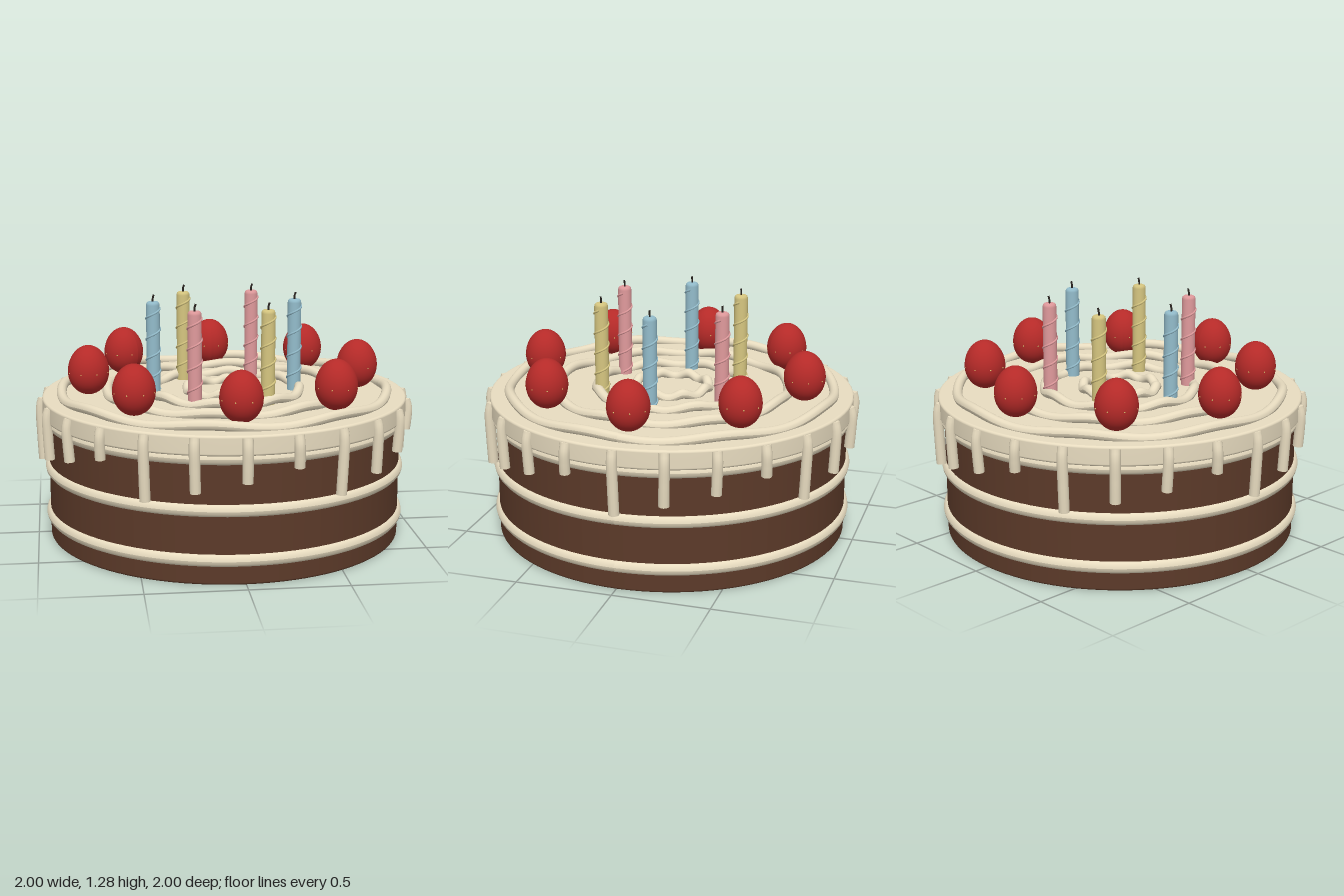
import * as THREE from 'three';

const paint = (color) => new THREE.MeshStandardMaterial({ color });
const chocolate = paint(0x5c3a29);
const cream = paint(0xe8dcc0);
const red = paint(0xb52a28);
const seedTone = paint(0xe0c070);
const dark = paint(0x2a2420);
const candleTones = { blue: paint(0x93bccb), pink: paint(0xe09a9c), yellow: paint(0xd6c680) };

const V = (x, y, z) => new THREE.Vector3(x, y, z);

function add(parent, name, geometry, material, x = 0, y = 0, z = 0) {
  const mesh = new THREE.Mesh(geometry, material);
  mesh.name = name;
  mesh.position.set(x, y, z);
  parent.add(mesh);
  return mesh;
}

// Disc with rounded rims; separate lathe strips keep the flat faces crisp
function roundedDisc(parent, name, radius, y0, y1, bevel, material) {
  const group = new THREE.Group();
  group.name = name;
  const side = [];
  for (let i = 0; i <= 4; i++) {
    const a = (i / 4) * Math.PI / 2;
    side.push(new THREE.Vector2(radius - bevel + bevel * Math.sin(a), y0 + bevel - bevel * Math.cos(a)));
  }
  for (let i = 0; i <= 4; i++) {
    const a = (i / 4) * Math.PI / 2;
    side.push(new THREE.Vector2(radius - bevel + bevel * Math.cos(a), y1 - bevel + bevel * Math.sin(a)));
  }
  add(group, name + 'Side', new THREE.LatheGeometry(side, 96), material);
  const cap = new THREE.CircleGeometry(radius - bevel, 96);
  add(group, name + 'Top', cap, material, 0, y1, 0).rotation.x = -Math.PI / 2;
  add(group, name + 'Bottom', cap, material, 0, y0, 0).rotation.x = Math.PI / 2;
  parent.add(group);
}

// Piped ring lying flat, with an optional up-and-down wave
function pipedRing(radius, tube, wave = 0) {
  const geometry = new THREE.TorusGeometry(radius, tube, 14, 128).rotateX(-Math.PI / 2);
  const p = geometry.attributes.position;
  for (let i = 0; i < p.count; i++) {
    const angle = Math.atan2(p.getZ(i), p.getX(i));
    p.setY(i, p.getY(i) + wave * Math.sin(angle * 8));
  }
  geometry.computeVertexNormals();
  return geometry;
}

// Drip hanging down the side, outward along +z
function drip(bottom, lean) {
  const curve = new THREE.CatmullRomCurve3([
    V(0, 0.738, 0.958), V(0, 0.69, 0.97), V(lean * 0.5, (0.69 + bottom) / 2, 0.968), V(lean, bottom, 0.962),
  ]);
  const group = new THREE.Group();
  group.name = 'drip';
  add(group, 'dripStream', new THREE.TubeGeometry(curve, 12, 0.027, 12), cream);
  const cap = new THREE.CircleGeometry(0.027, 12);
  add(group, 'dripTop', cap, cream, 0, 0.738, 0.958).rotation.x = -Math.PI / 2;
  add(group, 'dripEnd', cap, cream, lean, bottom, 0.962).rotation.x = Math.PI / 2;
  return group;
}

function strawberry() {
  const group = new THREE.Group();
  group.name = 'strawberry';
  // Egg shape, a little fuller below the middle
  const body = new THREE.SphereGeometry(1, 32, 24);
  const p = body.attributes.position;
  for (let i = 0; i < p.count; i++) {
    const y = p.getY(i);
    const r = 0.108 * (1 - 0.05 * y);
    p.setXYZ(i, p.getX(i) * r, y * 0.13, p.getZ(i) * r);
  }
  body.computeVertexNormals();
  add(group, 'berry', body, red);
  const seed = new THREE.SphereGeometry(0.004, 6, 4);
  for (let i = 0; i < 8; i++) {
    const a = (i + 0.5) * Math.PI / 4;
    add(group, 'seed', seed, seedTone, 0.107 * Math.cos(a), -0.01, 0.107 * Math.sin(a));
  }
  return group;
}

function candle(tone) {
  const group = new THREE.Group();
  group.name = 'candle';
  const profile = [[0.036, 0], [0.036, 0.475], [0.033, 0.487], [0.026, 0.493], [0, 0.493]];
  add(group, 'candleStick', new THREE.LatheGeometry(profile.map((q) => new THREE.Vector2(...q)), 24), tone);
  // Raised spiral
  const path = [];
  for (let i = 0; i <= 72; i++) {
    const a = (i / 72) * Math.PI * 8;
    path.push(V(0.036 * Math.cos(a), 0.02 + 0.44 * i / 72, -0.036 * Math.sin(a)));
  }
  add(group, 'spiral', new THREE.TubeGeometry(new THREE.CatmullRomCurve3(path), 120, 0.006, 6), tone);
  const wick = new THREE.CatmullRomCurve3([V(0, 0.485, 0), V(0, 0.51, 0), V(0.006, 0.53, 0)]);
  add(group, 'wick', new THREE.TubeGeometry(wick, 6, 0.005, 8), dark);
  return group;
}

export function createModel() {
  const cake = new THREE.Group();
  cake.name = 'cake';

  // Sponge and its piped bands
  roundedDisc(cake, 'sponge', 0.933, 0, 0.66, 0.012, chocolate);
  for (const y of [0.125, 0.375, 0.632]) add(cake, 'sideBand', pipedRing(0.92, 0.034), cream, 0, y, 0);

  // Icing lid and wavy rings on top
  roundedDisc(cake, 'icing', 0.963, 0.65, 0.75, 0.012, cream);
  for (const r of [0.195, 0.4, 0.62, 0.86]) add(cake, 'topRing', pipedRing(r, 0.026, 0.012), cream, 0, 0.766, 0);

  // Drips in four repeating lengths
  const ends = [0.52, 0.58, 0.41, 0.47];
  for (let i = 0; i < 24; i++) {
    const d = drip(ends[i % 4], 0.006 * Math.sin(i * 2.3));
    d.rotation.y = i * Math.PI / 12;
    cake.add(d);
  }

  // Strawberries around the edge
  for (let i = 0; i < 8; i++) {
    const a = i * Math.PI / 4;
    const s = strawberry();
    s.position.set(0.717 * Math.cos(a), 0.884, 0.717 * Math.sin(a));
    s.rotation.y = -a;
    cake.add(s);
  }

  // Candles in an inner circle
  ['blue', 'yellow', 'pink', 'blue', 'yellow', 'pink'].forEach((tone, i) => {
    const a = i * Math.PI / 3;
    const c = candle(candleTones[tone]);
    c.position.set(0.375 * Math.cos(a), 0.745, 0.375 * Math.sin(a));
    cake.add(c);
  });

  return cake;
}
